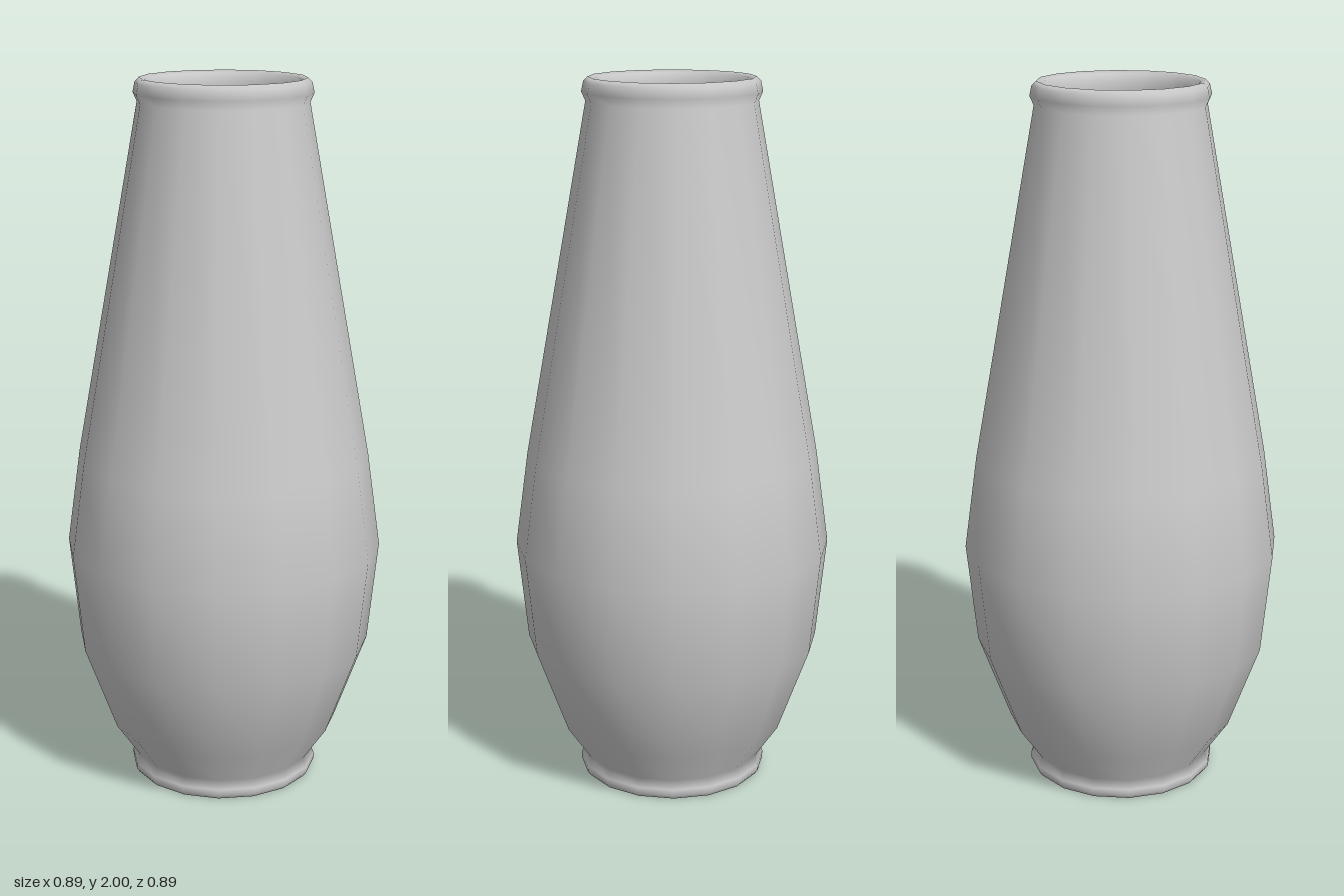
import * as THREE from 'three';

const SIDES = 16;

export function createModel() {
  const group = new THREE.Group();
  group.name = 'vase';
  const material = new THREE.MeshStandardMaterial({ color: 0xcccccc });

  const add = (name, geometry) => {
    const mesh = new THREE.Mesh(geometry, material);
    mesh.name = name;
    group.add(mesh);
    return mesh;
  };
  const lathe = (profile) =>
    new THREE.LatheGeometry(profile.map(([r, y]) => new THREE.Vector2(r, y)), SIDES);

  // Outer wall, rolled rim, inner wall and floor as one continuous profile
  add('body', lathe([
    // foot ring
    [0.258, 0], [0.267, 0.012], [0.267, 0.03], [0.256, 0.055],
    // belly and tapering neck
    [0.325, 0.155], [0.416, 0.4], [0.446, 0.685], [0.41, 0.95], [0.235, 1.935],
    // rolled rim
    [0.246, 1.96], [0.24, 1.988], [0.228, 2], [0.214, 1.993], [0.205, 1.965], [0.207, 1.93],
    // inside
    [0.38, 0.95], [0.415, 0.685], [0.386, 0.41], [0.297, 0.17], [0.22, 0.06], [0, 0.045],
  ]));

  // Flat underside
  const base = new THREE.CircleGeometry(0.258, SIDES);
  base.rotateX(Math.PI / 2);
  add('base', base);

  return group;
}
